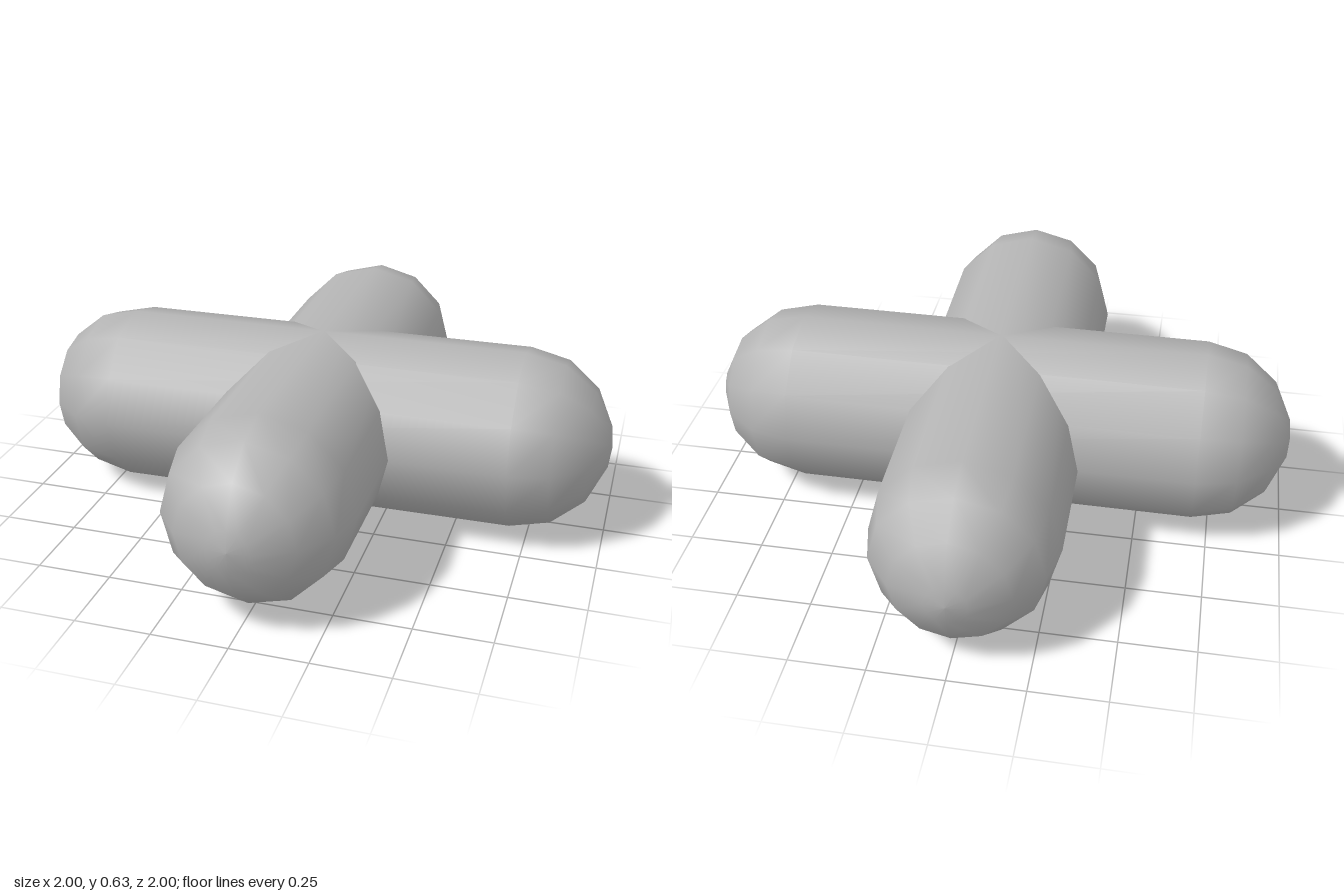
import * as THREE from 'three';

const RADIUS = 0.306; // bar radius
const HALF = 0.694;   // half length of the straight part
const SIDES = 12;

// Rounded bar along y: a straight tube with domed ends
function barGeometry() {
  const dome = [0, 25.7, 51.4, 77.1, 90].map((deg) => {
    const a = THREE.MathUtils.degToRad(deg);
    return new THREE.Vector2(deg === 90 ? 0 : RADIUS * Math.cos(a), HALF + RADIUS * Math.sin(a));
  });
  const lower = dome.map((p) => new THREE.Vector2(p.x, -p.y)).reverse();
  return new THREE.LatheGeometry([...lower, ...dome], SIDES);
}

export function createModel() {
  const group = new THREE.Group();
  group.name = 'crossedBars';
  const grey = new THREE.MeshStandardMaterial({ color: 0xb4b4b4 });
  grey.name = 'plain grey';

  // Bar running left to right, very slightly tilted
  const sideBar = new THREE.Mesh(barGeometry().rotateZ(-Math.PI / 2), grey);
  sideBar.name = 'sideBar';
  sideBar.position.y = 0.315;
  sideBar.rotation.z = 0.005;

  // Bar running front to back, front end slightly raised
  const frontBar = new THREE.Mesh(barGeometry().rotateX(Math.PI / 2), grey);
  frontBar.name = 'frontBar';
  frontBar.position.y = 0.316;
  frontBar.rotation.set(-0.0135, 0.005, 0);

  group.add(sideBar, frontBar);
  return group;
}
